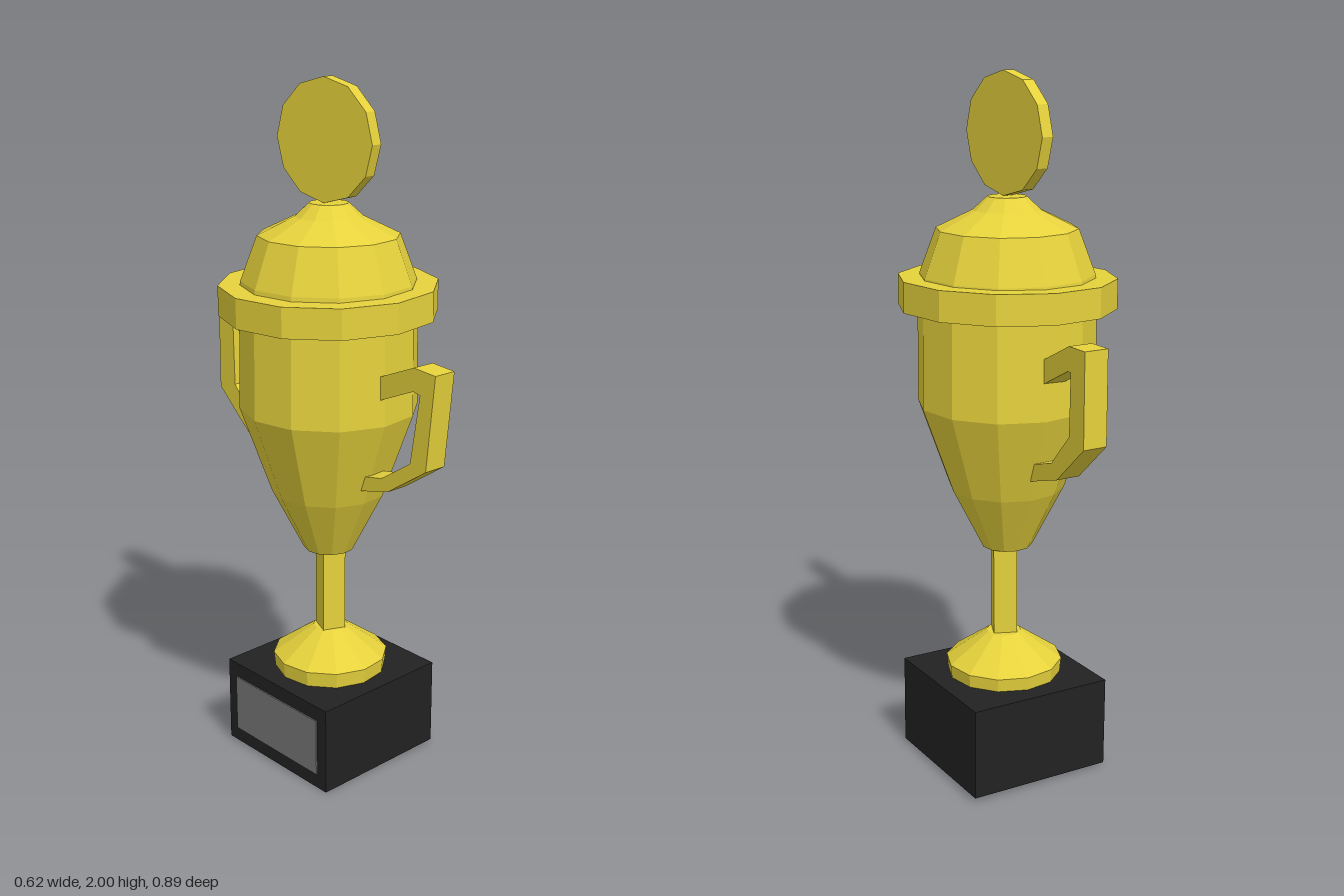
import * as THREE from 'three';

const paint = (color) => new THREE.MeshStandardMaterial({ color, flatShading: true });

export function createModel() {
  const gold = paint(0xe6d23c), black = paint(0x222222), grey = paint(0x777777);
  const model = new THREE.Group();
  model.name = 'trophy';

  const add = (name, geometry, material, x = 0, y = 0, z = 0, parent = model) => {
    const mesh = new THREE.Mesh(geometry, material);
    mesh.name = name;
    mesh.position.set(x, y, z);
    parent.add(mesh);
    return mesh;
  };
  // Faceted turned part from [radius, height] pairs, bottom to top
  const turned = (pairs) =>
    new THREE.LatheGeometry(pairs.map(([r, y]) => new THREE.Vector2(r, y)), 12);

  // Plinth, standing slightly crooked, with a plate on one side
  const plinth = new THREE.Group();
  plinth.name = 'plinth';
  plinth.position.set(0.025, 0.141, -0.025);
  plinth.rotation.set(0.015, 0.108, 0.015);
  model.add(plinth);
  add('plinthBlock', new THREE.BoxGeometry(0.436, 0.264, 0.434), black, 0, 0, 0, plinth);
  add('plate', new THREE.BoxGeometry(0.006, 0.175, 0.36), grey, -0.219, 0, 0, plinth);

  // Foot and square stem
  add('foot', turned([[0, 0.26], [0.165, 0.265], [0.17, 0.315], [0.05, 0.4], [0, 0.4]]), gold, 0.02, 0, -0.02);
  const stem = add('stem', new THREE.BoxGeometry(0.068, 0.32, 0.068), gold, 0.017, 0.53, -0.015);
  stem.rotation.y = -0.3;

  // Cup, rim and domed lid
  add('cup', turned([[0, 0.66], [0.073, 0.66], [0.165, 0.84], [0.254, 1.09], [0.25, 1.37], [0, 1.37]]), gold, 0.003, 0, -0.003);
  const rim = add('rim', new THREE.CylinderGeometry(0.307, 0.307, 0.085, 12), gold, 0, 1.404, 0);
  rim.rotation.set(0.008, 0, 0.015);
  add('lid', turned([[0.248, 1.43], [0.245, 1.455], [0.198, 1.58], [0.095, 1.63], [0.055, 1.667], [0, 1.667]]), gold);

  // Round finial standing on edge
  const disc = new THREE.CylinderGeometry(0.167, 0.167, 0.037, 12).rotateZ(Math.PI / 2);
  const finial = add('finial', disc, gold, -0.006, 1.835, 0.004);
  finial.rotation.y = 0.235;

  // Angular handles, outlined in the z-y plane and given thickness along x
  const handles = new THREE.Group();
  handles.name = 'handles';
  handles.rotation.y = 0.11;
  model.add(handles);
  const width = 0.072;
  const handle = (name, outline) => {
    const shape = new THREE.Shape(outline.map(([z, y]) => new THREE.Vector2(z, y)));
    const geometry = new THREE.ExtrudeGeometry(shape, { depth: width, bevelEnabled: false });
    geometry.translate(0, 0, -width / 2).rotateY(-Math.PI / 2);
    add(name, geometry, gold, 0, 0, 0, handles);
  };
  handle('frontHandle', [
    [0.2, 1.215], [0.365, 1.282], [0.444, 1.275], [0.416, 1.005], [0.275, 0.912], [0.14, 0.88],
    [0.14, 0.925], [0.25, 0.945], [0.358, 1.015], [0.39, 1.212], [0.365, 1.217], [0.2, 1.148],
  ]);
  handle('backHandle', [
    [-0.2, 1.238], [-0.37, 1.322], [-0.445, 1.322], [-0.445, 1.06], [-0.318, 0.945], [-0.17, 0.9],
    [-0.17, 0.95], [-0.29, 0.985], [-0.376, 1.08], [-0.38, 1.254], [-0.365, 1.254], [-0.2, 1.17],
  ]);

  return model;
}
